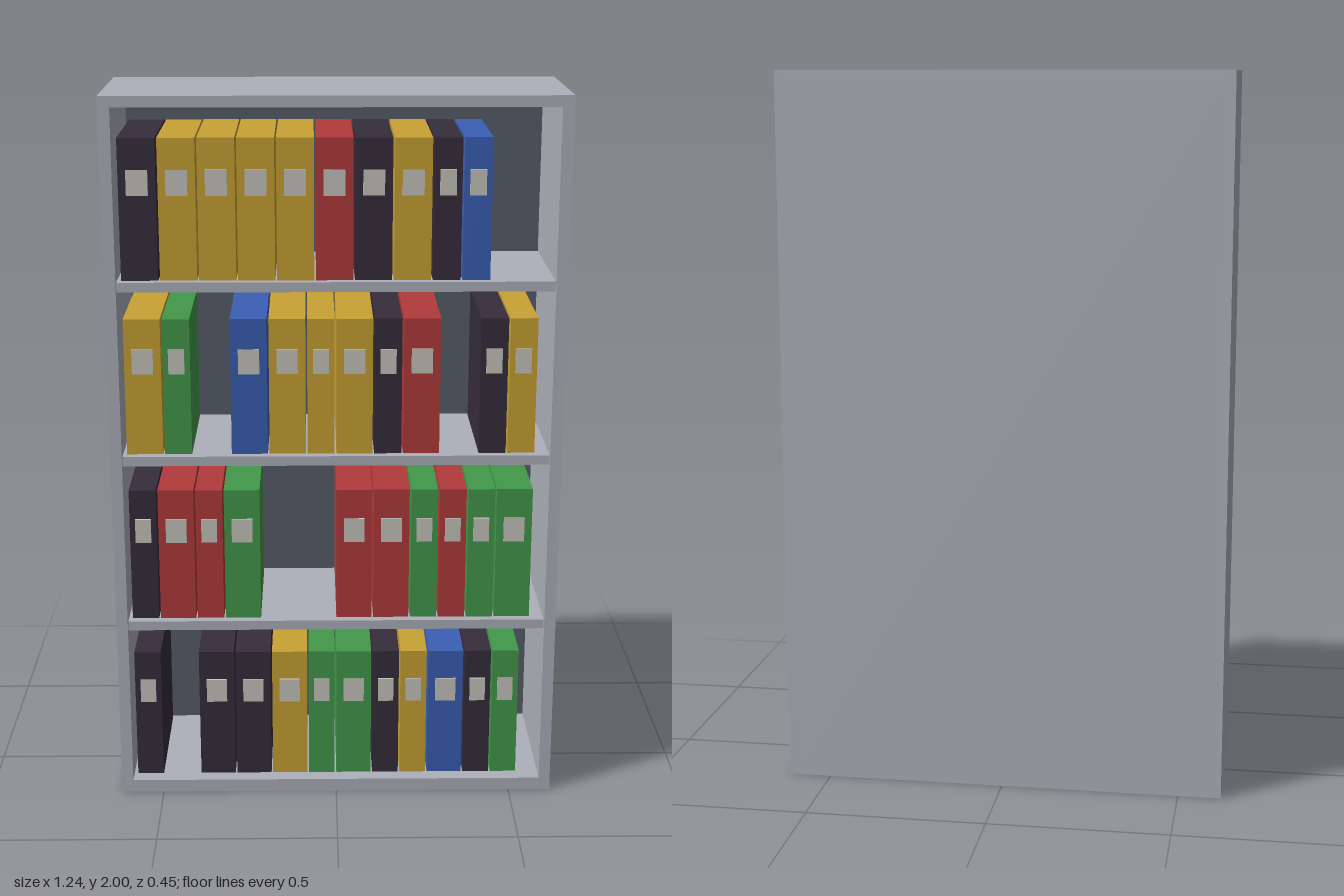
import * as THREE from 'three';

const material = (name, color) => {
  const m = new THREE.MeshStandardMaterial({ color });
  m.name = name;
  return m;
};

export function createModel() {
  const steel = material('light grey steel', 0xaeb1ba);
  const slate = material('slate backing', 0x575e6a);
  const paper = material('label paper', 0xc8c6bf);
  const binderColors = {
    k: material('charcoal', 0x362d3c),
    y: material('ochre', 0xc9a234),
    r: material('red', 0xb23a3b),
    g: material('green', 0x43994b),
    b: material('blue', 0x3a5fb4),
  };

  // Box given by its lower and upper corners
  const box = (parent, name, mat, [x0, y0, z0], [x1, y1, z1]) => {
    const mesh = new THREE.Mesh(new THREE.BoxGeometry(x1 - x0, y1 - y0, z1 - z0), mat);
    mesh.position.set((x0 + x1) / 2, (y0 + y1) / 2, (z0 + z1) / 2);
    mesh.name = name;
    parent.add(mesh);
    return mesh;
  };

  const model = new THREE.Group();
  model.name = 'binderShelf';

  // Cabinet: a rectangular tube extruded front to back, closed by a rear panel
  const W = 0.62, D = 0.225, IN = 0.588;
  const outline = new THREE.Shape([[-W, 0], [W, 0], [W, 2], [-W, 2]].map(p => new THREE.Vector2(...p)));
  outline.holes.push(new THREE.Path(
    [[-IN, 0.037], [-IN, 1.97], [IN, 1.97], [IN, 0.037]].map(p => new THREE.Vector2(...p))));
  const frame = new THREE.Mesh(
    new THREE.ExtrudeGeometry(outline, { depth: 2 * D, bevelEnabled: false }), steel);
  frame.position.z = -D;
  frame.name = 'cabinetFrame';
  model.add(frame);
  box(model, 'rearPanel', steel, [-IN, 0.037, -D], [IN, 1.97, -0.205]);
  box(model, 'innerBacking', slate, [-IN, 0.037, -0.205], [IN, 1.97, -0.2]);

  // Rows from the bottom up: capital = wide binder, small = narrow binder, dot = empty slot
  const rows = ['k.KKYgGkyBkg', 'kRrG..RRgrgG', 'Yg.BYyYkR.ky', 'KYYYYRKYkb'];
  const GAP = 0.0046;

  rows.forEach((row, i) => {
    const floor = 0.039 + i * 0.4885;
    if (i > 0) box(model, 'shelf', steel, [-IN, floor - 0.027, -0.2], [IN, floor, 0.21]);

    const group = new THREE.Group();
    group.name = 'binderRow';
    model.add(group);
    let x = -0.577;
    for (const c of row) {
      const wide = c === c.toUpperCase();
      const width = wide ? 0.1 : 0.075;
      if (c !== '.') {
        box(group, 'binder', binderColors[c.toLowerCase()],
          [x, floor, -0.185], [x + width, floor + 0.382, 0.185]);
        // Spine label
        const half = wide ? 0.029 : 0.022, mid = x + width / 2;
        box(group, 'spineLabel', paper,
          [mid - half, floor + 0.229, 0.184], [mid + half, floor + 0.298, 0.19]);
      }
      x += width + GAP;
    }
  });

  return model;
}
